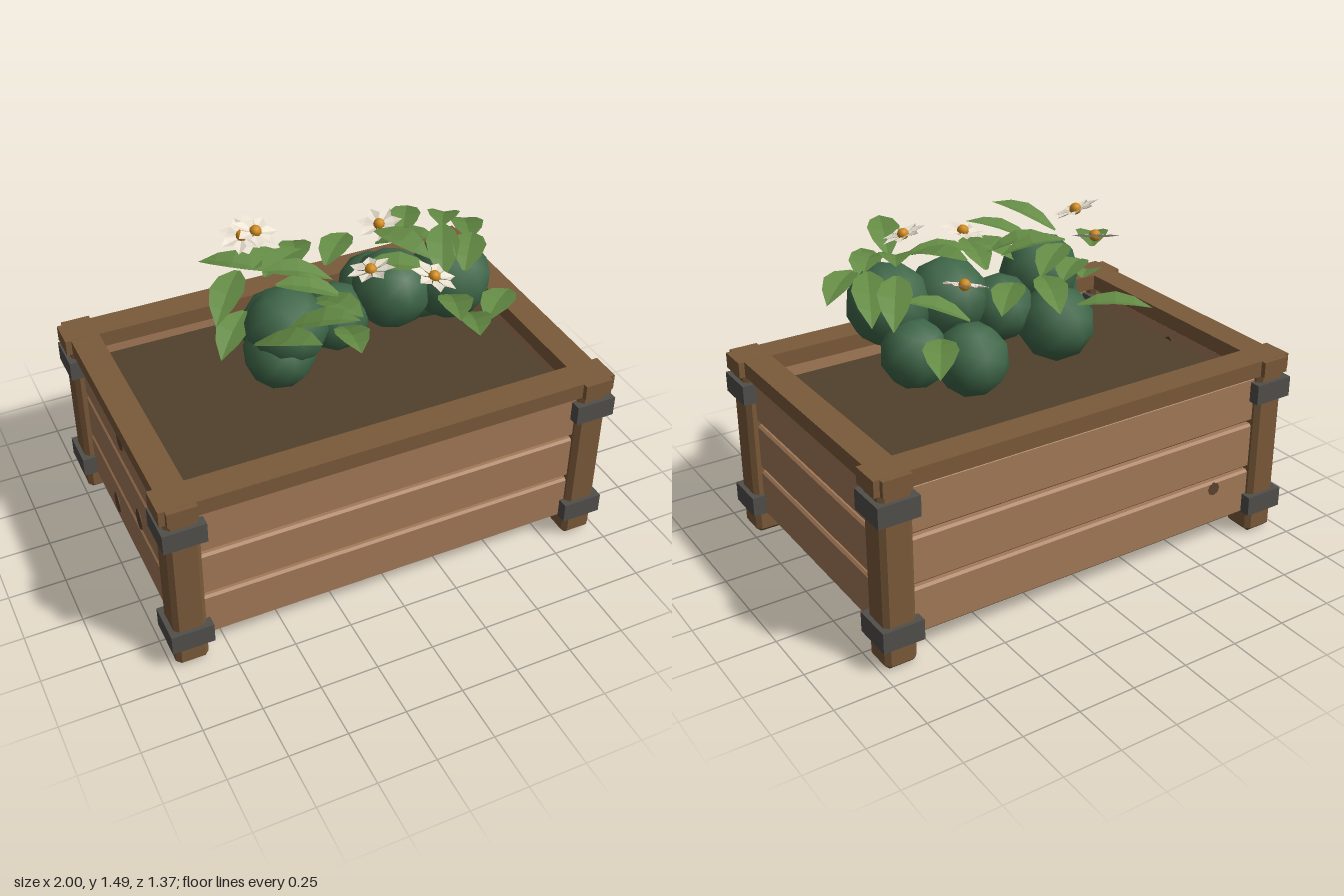
import * as THREE from 'three';
import { ConvexGeometry } from 'three/addons/geometries/ConvexGeometry.js';

const mat = (name, color, side = THREE.FrontSide) => {
  const m = new THREE.MeshStandardMaterial({ color, side });
  m.name = name;
  return m;
};

// Box with every edge chamfered by b
function chamferBox(w, h, d, b) {
  const pts = [];
  for (const sx of [-1, 1]) for (const sy of [-1, 1]) for (const sz of [-1, 1]) {
    const x = w / 2, y = h / 2, z = d / 2;
    pts.push(new THREE.Vector3(sx * x, sy * (y - b), sz * (z - b)));
    pts.push(new THREE.Vector3(sx * (x - b), sy * y, sz * (z - b)));
    pts.push(new THREE.Vector3(sx * (x - b), sy * (y - b), sz * z));
  }
  return new ConvexGeometry(pts);
}

// Flat-shaded geometry from a list of Vector3 triangles
function facets(tris) {
  const g = new THREE.BufferGeometry().setFromPoints(tris);
  g.computeVertexNormals();
  return g;
}

// Folded, gently arched leaf running from base to tip
function leafGeometry(base, tip, width) {
  const dir = tip.clone().sub(base);
  const side = new THREE.Vector3(0, 1, 0).cross(dir).normalize();
  const widths = [0.15, 0.8, 1, 0.7, 0];
  const rows = widths.map((w, i) => {
    const t = i / (widths.length - 1);
    const mid = base.clone().addScaledVector(dir, t);
    mid.y += 0.022 * Math.sin(Math.PI * t);
    const edge = s => {
      const p = mid.clone().addScaledVector(side, s * w * width / 2);
      p.y += 0.018 * w;
      return p;
    };
    return [edge(-1), mid, edge(1)];
  });
  const tris = [];
  for (let i = 0; i < rows.length - 1; i++) for (let j = 0; j < 2; j++) {
    const a = rows[i][j], b = rows[i][j + 1], c = rows[i + 1][j], d = rows[i + 1][j + 1];
    tris.push(a, c, b, b, c, d);
  }
  return facets(tris);
}

// Ring of pointed petals, each creased along its middle
function petalsGeometry(count, r) {
  const tris = [];
  const at = (rad, a, y) => new THREE.Vector3(rad * Math.cos(a), y, rad * Math.sin(a));
  for (let i = 0; i < count; i++) {
    const a = i / count * Math.PI * 2, da = Math.PI / count * 0.98;
    const root = at(0.008, a, 0), mid = at(r * 0.66, a, 0.002), tip = at(r, a, 0.008);
    const l = at(r * 0.66, a - da, 0.011), k = at(r * 0.66, a + da, 0.011);
    tris.push(root, mid, l, root, k, mid, mid, tip, l, mid, k, tip);
  }
  return facets(tris);
}

export function createModel() {
  const plankMat = mat('plank wood', 0xa37957);
  const frameMat = mat('frame wood', 0x7a5a3a);
  const knotMat = mat('knot', 0x5c432f);
  const metalMat = mat('iron', 0x514f4a);
  const soilMat = mat('soil', 0x50412c);
  const bushMat = mat('bush green', 0x3f6749);
  const leafMat = mat('leaf green', 0x648b45, THREE.DoubleSide);
  const petalMat = mat('petal white', 0xe8dfd0, THREE.DoubleSide);
  const budMat = mat('flower centre', 0xcf8a1a);

  const model = new THREE.Group();
  model.name = 'flowerPlanter';
  const add = (name, geo, m, x = 0, y = 0, z = 0, parent = model) => {
    const mesh = new THREE.Mesh(geo, m);
    mesh.name = name;
    mesh.position.set(x, y, z);
    parent.add(mesh);
    return mesh;
  };

  // Corner posts with iron bands
  const postGeo = chamferBox(0.14, 0.79, 0.145, 0.02);
  const bandGeo = new THREE.BoxGeometry(0.18, 0.09, 0.18);
  for (const sx of [-1, 1]) for (const sz of [-1, 1]) {
    add('cornerPost', postGeo, frameMat, sx * 0.91, 0.395, sz * 0.593);
    for (const y of [0.15, 0.695]) add('ironBand', bandGeo, metalMat, sx * 0.91, y, sz * 0.593);
  }

  // Side planks, three per wall
  const longPlank = chamferBox(1.76, 0.21, 0.06, 0.01);
  const shortPlank = chamferBox(0.06, 0.21, 1.14, 0.01);
  for (const y of [0.205, 0.43, 0.655]) for (const s of [-1, 1]) {
    add('longPlank', longPlank, plankMat, 0, y, s * 0.605);
    add('shortPlank', shortPlank, plankMat, s * 0.91, y, 0);
  }

  // Crossing top rails
  const longRail = new THREE.BoxGeometry(2, 0.07, 0.133);
  const shortRail = new THREE.BoxGeometry(0.125, 0.069, 1.364);
  for (const s of [-1, 1]) {
    add('longRail', longRail, frameMat, 0, 0.805, s * 0.593);
    add('shortRail', shortRail, frameMat, s * 0.912, 0.805, 0);
  }

  add('soil', new THREE.BoxGeometry(1.76, 0.07, 1.15), soilMat, 0, 0.66, 0);

  // Wood knots, showing on both faces of a plank
  const knotGeo = new THREE.CylinderGeometry(0.04, 0.04, 0.066, 8).rotateZ(Math.PI / 2);
  for (const [y, z] of [[0.66, -0.02], [0.37, 0.16], [0.185, -0.18]])
    add('knot', knotGeo, knotMat, -0.91, y, z).scale.y = 1.3;
  const smallKnot = new THREE.CylinderGeometry(0.03, 0.03, 0.066, 8).rotateX(Math.PI / 2);
  add('knot', smallKnot, knotMat, -0.65, 0.275, -0.605);

  // Rounded bush clumps: x, y, z, radius
  const bushes = [
    [-0.25, 1.12, 0.13, 0.172], [-0.29, 1.02, 0.15, 0.15], [-0.19, 0.97, -0.09, 0.165],
    [0.01, 1.04, 0.04, 0.145], [0.25, 1.13, 0.07, 0.172], [0.5, 1.14, 0.11, 0.178],
    [0.49, 0.99, -0.08, 0.145], [0.3, 0.965, -0.2, 0.155],
  ];
  bushes.forEach(([x, y, z, r], i) => {
    add('bush', new THREE.IcosahedronGeometry(r, 1), bushMat, x, y, z).rotation.set(i, i * 1.7, 0);
  });

  // Leaves: base x, y, z then tip x, y, z
  const leaves = [
    [-0.16, 1.12, -0.28, -0.4, 1.12, -0.47], [-0.08, 1.22, -0.14, 0.01, 1.16, -0.4],
    [-0.36, 1.28, -0.1, -0.56, 1.23, 0.17], [-0.36, 1.12, -0.04, -0.54, 1.05, 0.15],
    [-0.28, 1.28, -0.01, -0.03, 1.24, -0.2], [-0.28, 1.3, -0.02, -0.02, 1.25, 0.08],
    [-0.27, 1.29, 0.08, -0.02, 1.23, 0.19], [-0.28, 1.25, -0.13, -0.1, 1.22, -0.25],
    [-0.46, 1.21, 0.31, -0.28, 1.31, 0.55], [-0.31, 1.2, 0.25, -0.07, 1.29, 0.44],
    [-0.05, 1.13, 0.24, -0.1, 1.19, 0.51], [-0.12, 1.2, 0.11, -0.02, 1.24, 0.36],
    [0.03, 1.2, -0.1, 0.24, 1.18, -0.33], [0.49, 1.13, -0.29, 0.65, 1.1, -0.55],
    [0.53, 1.31, -0.02, 0.69, 1.2, -0.28], [0.59, 1.3, 0.11, 0.74, 1.2, -0.2],
    [0.24, 1.33, -0.07, 0.37, 1.3, 0.18], [0.37, 1.27, 0.28, 0.52, 1.34, 0],
    [0.47, 1.16, 0.48, 0.7, 1.12, 0.27], [0.36, 1.24, 0.36, 0.25, 1.32, 0.64],
    [0.46, 1.12, 0.35, 0.36, 1.2, 0.61], [0.1, 1.29, 0.1, 0.36, 1.28, 0.24],
    [0.46, 1.29, 0.3, 0.62, 1.31, 0.08], [0.33, 1.15, -0.24, 0.54, 1.22, -0.07],
  ];
  for (const [a, b, c, d, e, f] of leaves)
    add('leaf', leafGeometry(new THREE.Vector3(a, b, c), new THREE.Vector3(d, e, f), 0.14), leafMat);

  // Flowers: position, then lean of the face in x and z
  const petals = petalsGeometry(7, 0.1);
  const bud = new THREE.IcosahedronGeometry(0.025, 1);
  const flowers = [
    [-0.285, 1.448, -0.085, 0.27, 0.3], [-0.295, 1.365, -0.205, -0.2, 0.3],
    [0.085, 1.338, 0.21, -0.15, -0.12], [0.295, 1.325, 0.34, 0.3, 0.2],
    [0.32, 1.275, -0.185, -0.25, 0.2],
  ];
  flowers.forEach(([x, y, z, lx, lz], i) => {
    const flower = new THREE.Group();
    flower.name = 'flower';
    flower.position.set(x, y, z);
    flower.quaternion.setFromUnitVectors(new THREE.Vector3(0, 1, 0), new THREE.Vector3(lx, 1, lz).normalize());
    add('petals', petals, petalMat, 0, 0, 0, flower).rotation.y = i * 0.6;
    add('flowerCentre', bud, budMat, 0, 0.008, 0, flower);
    model.add(flower);
  });

  return model;
}
